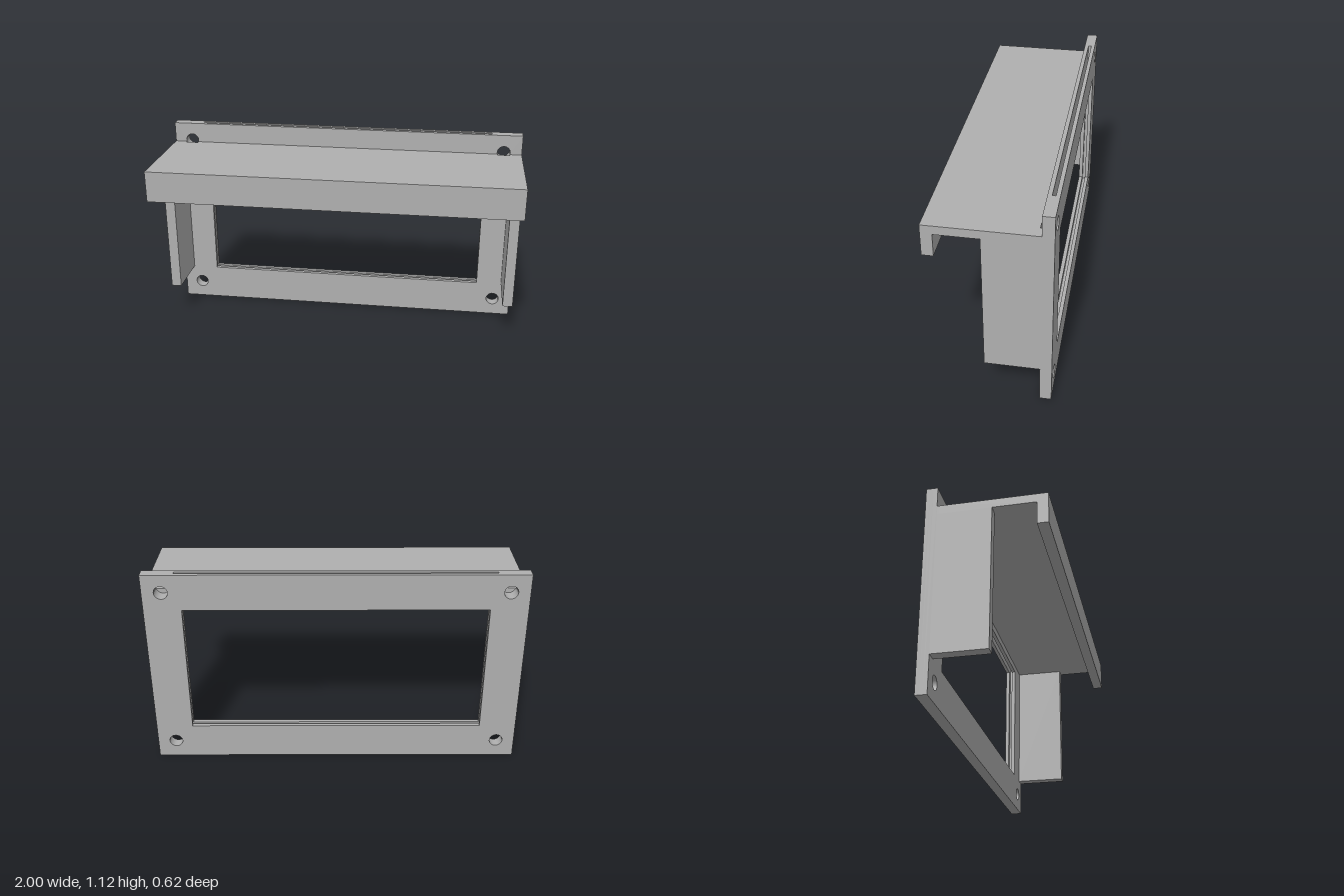
import * as THREE from 'three';

const W = 1, H = 1.122;                 // half width and height of the plate
const BACK = -0.31, FRONT = -0.25;      // plate faces in z
const SLOT_BACK = -0.289, SLOT_FRONT = -0.272;
const HOLE_X = 0.9, HOLE_R = 0.036, HOLE_LOW = 0.1, HOLE_HIGH = 1.022;
const SHELF_TOP = 1.012, SHELF_UNDER = 0.965, RELIEF = -0.235;

const polygon = (pts) => new THREE.Shape(pts.map(([x, y]) => new THREE.Vector2(x, y)));

function addScrewHoles(shape) {
  for (const x of [-HOLE_X, HOLE_X]) for (const y of [HOLE_LOW, HOLE_HIGH]) {
    shape.holes.push(new THREE.Path().absarc(x, y, HOLE_R, 0, Math.PI * 2, true));
  }
  return shape;
}

// Extrude an x-y shape between two z positions
function slab(shape, z0, z1) {
  return new THREE.ExtrudeGeometry(shape, { depth: z1 - z0, bevelEnabled: false, curveSegments: 24 })
    .translate(0, 0, z0);
}

export function createModel() {
  const grey = new THREE.MeshStandardMaterial({ color: 0xb0b0b0 });
  grey.name = 'plain grey';
  const model = new THREE.Group();
  model.name = 'hoodedFrame';
  const add = (name, geometry) => {
    const mesh = new THREE.Mesh(geometry, grey);
    mesh.name = name;
    model.add(mesh);
  };

  // Front and back layers of the plate, each with the window
  const face = addScrewHoles(polygon([[-W, 0], [W, 0], [W, H], [-W, H]]));
  face.holes.push(polygon([[-0.8, 0.2], [-0.8, 0.922], [0.8, 0.922], [0.8, 0.2]]));
  add('plateBack', slab(face, BACK, SLOT_BACK));
  add('plateFront', slab(face, SLOT_FRONT, FRONT));

  // Middle layer is a U that leaves a slot open at the top for a sliding pane
  const core = addScrewHoles(polygon([
    [-W, 0], [W, 0], [W, H], [0.83, H], [0.83, 0.17], [-0.83, 0.17], [-0.83, H], [-W, H],
  ]));
  add('plateCore', slab(core, SLOT_BACK, SLOT_FRONT));

  // Rear strip of the shelf, notched where the upper screw holes run into it
  const strip = polygon([[-W, SHELF_UNDER], [W, SHELF_UNDER], [W, SHELF_TOP]]);
  const a = Math.asin((SHELF_TOP - HOLE_HIGH) / HOLE_R);
  for (const x of [HOLE_X, -HOLE_X]) strip.absarc(x, HOLE_HIGH, HOLE_R, a, -Math.PI - a, true);
  strip.lineTo(-W, SHELF_TOP);
  add('shelfRear', slab(strip, FRONT, RELIEF));

  // Shelf with its hanging front lip, extruded across the width
  const hood = polygon([
    [-0.31, 0.842], [-0.252, 0.842], [-0.252, SHELF_UNDER], [-RELIEF, SHELF_UNDER],
    [-RELIEF, SHELF_TOP], [-0.31, SHELF_TOP],
  ]);
  add('shelfAndLip', slab(hood, -W, W).rotateY(Math.PI / 2));

  // Side walls under the shelf
  for (const [name, side] of [['leftWall', 1], ['rightWall', -1]]) {
    const height = SHELF_UNDER - 0.2;
    add(name, new THREE.BoxGeometry(0.056, height, 0.28)
      .translate(side * 0.972, 0.2 + height / 2, -0.11));
  }
  return model;
}
